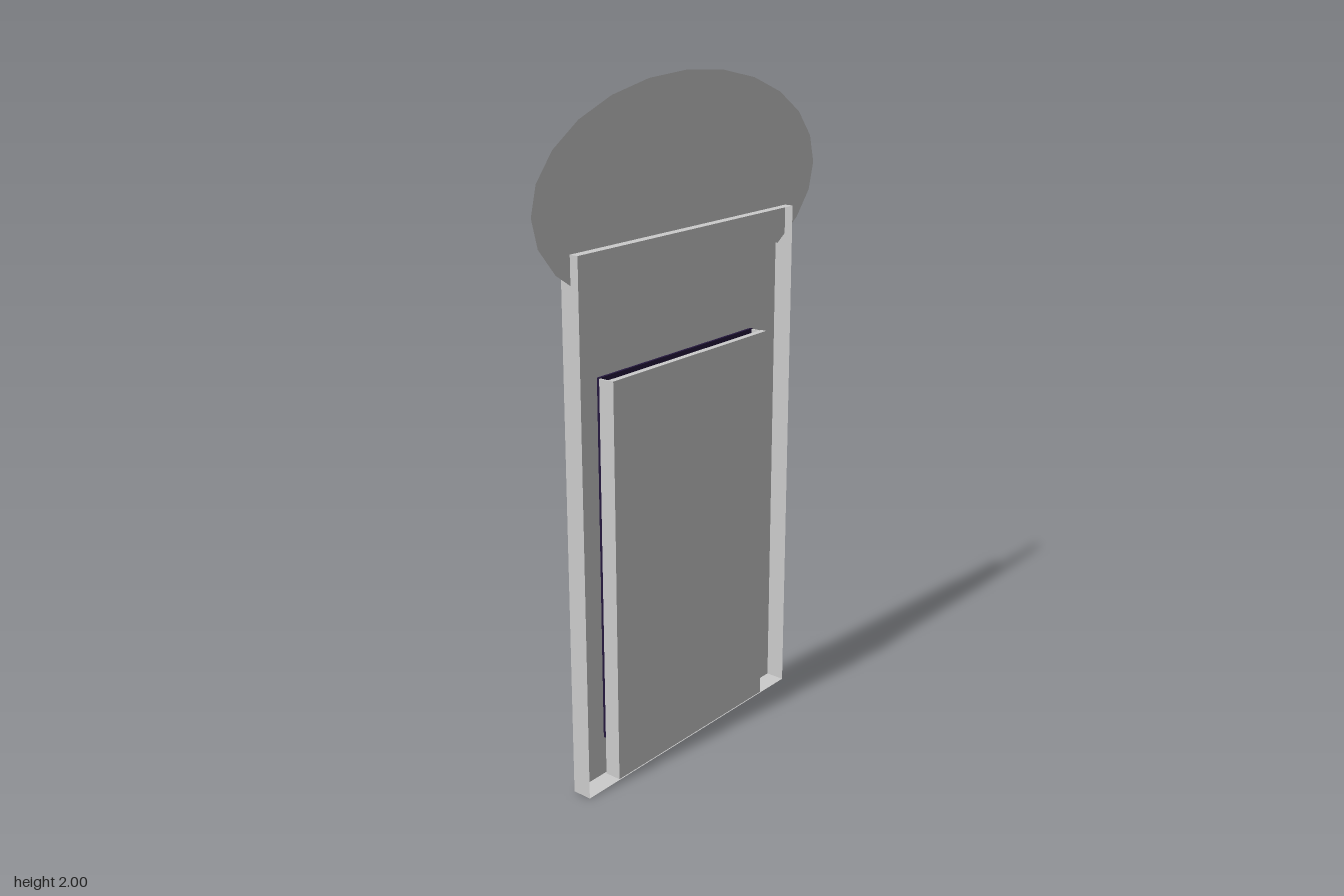
import * as THREE from 'three';

const grey = new THREE.MeshStandardMaterial({ color: 0xcccccc, side: THREE.DoubleSide, flatShading: true });
const purple = new THREE.MeshStandardMaterial({ color: 0x24173d, side: THREE.DoubleSide, flatShading: true });

// Box given by its min and max corners
function boxBetween(min, max) {
  const size = max.map((v, i) => v - min[i]);
  const mid = max.map((v, i) => (v + min[i]) / 2);
  return new THREE.BoxGeometry(...size).translate(...mid);
}

export function createModel() {
  const model = new THREE.Group();
  const add = (name, geometry, material = grey) => {
    const mesh = new THREE.Mesh(geometry, material);
    mesh.name = name;
    model.add(mesh);
  };

  // Shallow frame, a thin-walled box open to the front
  const frame = boxBetween([-0.47, 0, -0.03], [0.463, 1.573, 0.03]);
  const faces = Array.from(frame.index.array);
  faces.splice(24, 6); // drop the +z face
  frame.setIndex(faces);
  frame.clearGroups();
  add('frame', frame);

  // Door: front slab with side strips, open at the top
  const w = 0.342;
  add('doorSlab', boxBetween([-w, 0.002, 0.01], [w, 1.212, 0.029]));
  for (const s of [-1, 1]) {
    const x = [s * w, s * (w - 0.006)].sort((a, b) => a - b);
    add(s < 0 ? 'rightDoorStrip' : 'leftDoorStrip', boxBetween([x[0], 0.002, -0.022], [x[1], 1.21, 0.01]));
  }

  // Dark panel behind the door, showing through the back
  add('backPanel', boxBetween([-w, 0.12, -0.0315], [w, 1.212, -0.022]), purple);

  // Flat oval canopy with a zigzag lower edge
  const outline = [];
  for (let deg = -45; deg <= 225; deg += 15) {
    const a = THREE.MathUtils.degToRad(deg);
    outline.push(new THREE.Vector2(0.604 * Math.cos(a), 1.685 + 0.315 * Math.sin(a)));
  }
  for (const [x, y] of [[-0.132, 1.563], [0, 1.526], [0.132, 1.563]]) outline.push(new THREE.Vector2(x, y));
  add('canopy', new THREE.ShapeGeometry(new THREE.Shape(outline)).translate(0, 0, 0.003));

  return model;
}
